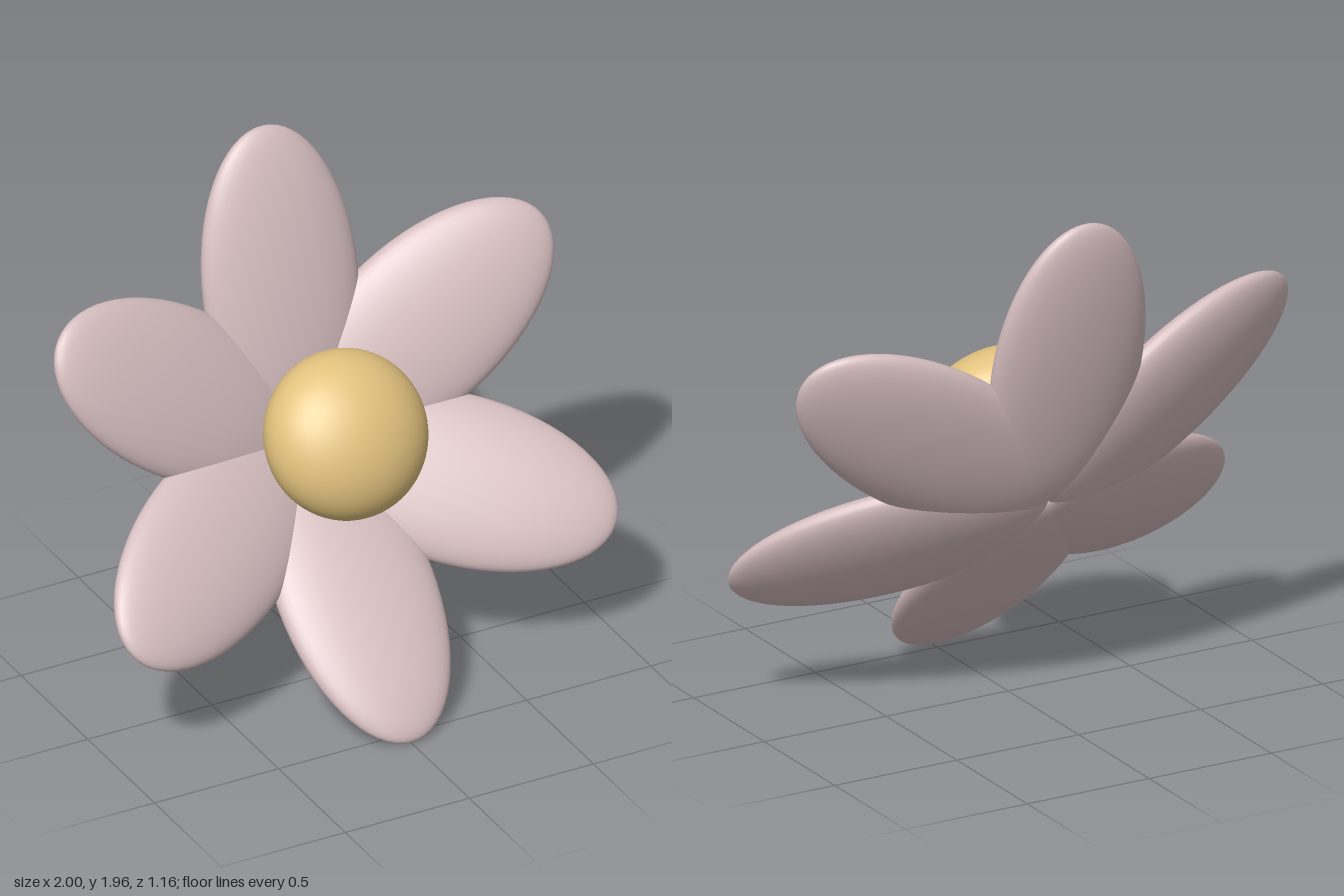
import * as THREE from 'three';

const PETALS = 6;
const TILT = Math.PI / 6;   // the bloom looks up
const CUP = 0.285;          // petals lean forward
const HALF_LENGTH = 0.588;

export function createModel() {
  const petalPink = new THREE.MeshStandardMaterial({ color: 0xd5bdbf });
  petalPink.name = 'petal pink';
  const centreYellow = new THREE.MeshStandardMaterial({ color: 0xe2c27e });
  centreYellow.name = 'centre yellow';

  const model = new THREE.Group();
  model.name = 'flower';

  // bloom, with its origin where the petals meet
  const bloom = new THREE.Group();
  bloom.name = 'bloom';
  bloom.position.set(0, 0.827, -0.28);
  bloom.rotation.x = -TILT;
  model.add(bloom);

  // flattened ellipsoid petal with its base at the origin
  const petalGeometry = new THREE.SphereGeometry(1, 48, 32);
  petalGeometry.scale(0.3075, HALF_LENGTH, 0.094);
  petalGeometry.translate(0, HALF_LENGTH, 0);
  petalGeometry.rotateX(CUP);

  for (let i = 0; i < PETALS; i++) {
    const petal = new THREE.Mesh(petalGeometry, petalPink);
    petal.name = `petal${i + 1}`;
    petal.rotation.z = (i * Math.PI * 2) / PETALS;
    bloom.add(petal);
  }

  // domed centre floating in front of the petals
  const centre = new THREE.Mesh(new THREE.SphereGeometry(0.3075, 48, 32), centreYellow);
  centre.name = 'flowerCentre';
  centre.scale.z = 0.7;
  centre.position.set(0, -0.004, 0.406);
  bloom.add(centre);

  return model;
}
